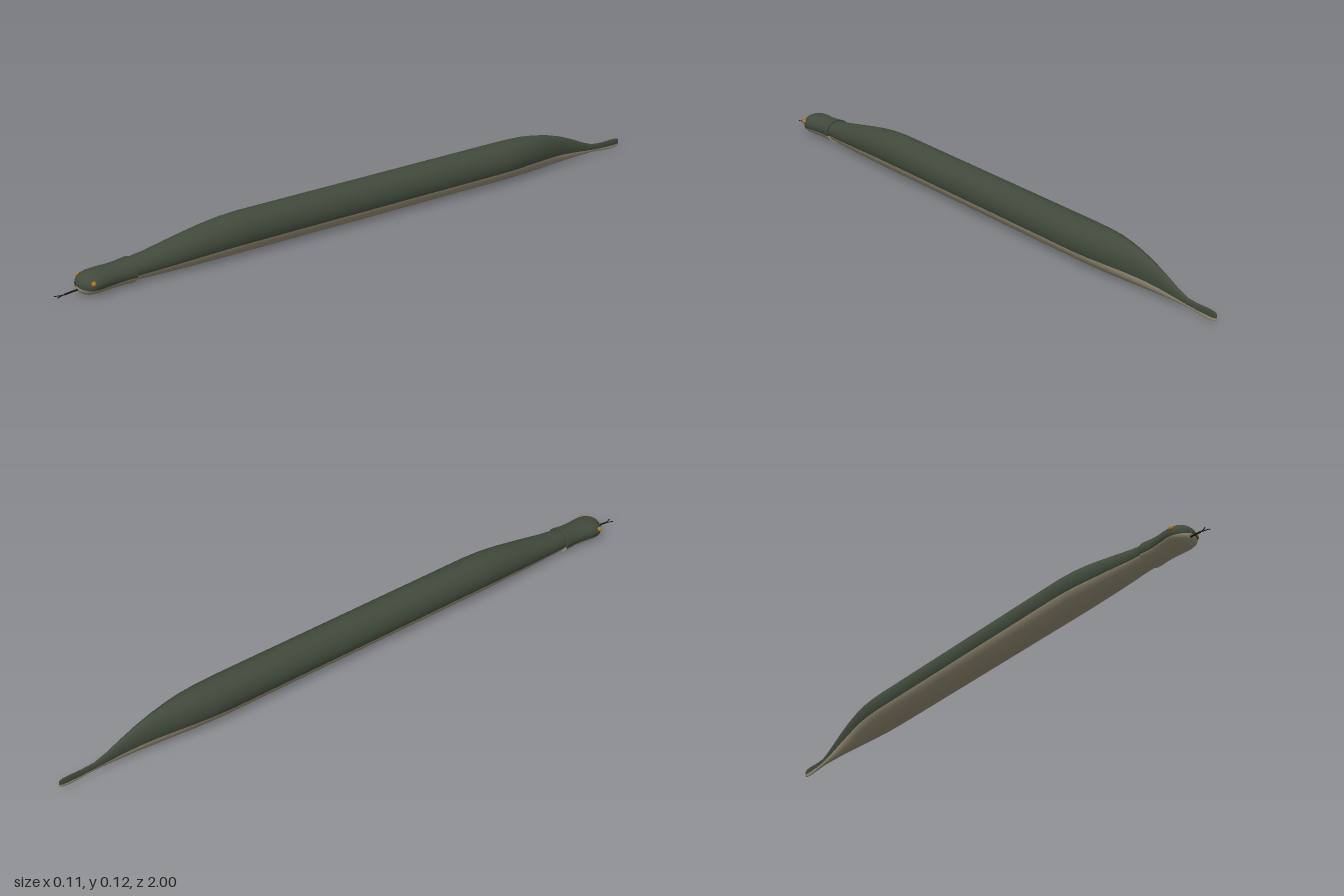
import * as THREE from 'three';

const mat = (name, color) => {
  const m = new THREE.MeshStandardMaterial({ color });
  m.name = name;
  return m;
};

// Lofted skin: stations are [z, half width, bottom, top], running from nose to tail.
// Group 0 is the pale belly, group 1 the dark back.
function loft(stations) {
  const belly = 12, back = 20, n = belly + back;
  const seam = Math.PI * 0.1;
  const angles = [];
  for (let k = 0; k < n; k++) {
    angles.push(k < belly
      ? Math.PI + seam + (k / belly) * (Math.PI - 2 * seam)
      : -seam + ((k - belly) / back) * (Math.PI + 2 * seam));
  }
  const pos = [], index = [];
  for (const [z, w, lo, hi] of stations) {
    for (const a of angles) {
      pos.push(w * Math.cos(a), (lo + hi) / 2 + (hi - lo) / 2 * Math.sin(a), z);
    }
  }
  const strip = (from, to) => {
    for (let i = 0; i < stations.length - 1; i++) {
      for (let k = from; k < to; k++) {
        const a = i * n + k, b = i * n + (k + 1) % n;
        index.push(a, a + n, b, b, a + n, b + n);
      }
    }
  };
  strip(0, belly);
  const split = index.length;
  strip(belly, n);
  const g = new THREE.BufferGeometry();
  g.setAttribute('position', new THREE.Float32BufferAttribute(pos, 3));
  g.setIndex(index);
  g.addGroup(0, split, 0);
  g.addGroup(split, index.length - split, 1);
  g.computeVertexNormals();
  return g;
}

export function createModel() {
  const root = new THREE.Group();
  root.name = 'snake';
  const skin = [mat('pale belly', 0xa89e84), mat('dark olive back', 0x414a3c)];
  const amber = mat('amber eye', 0xb07a22);
  const black = mat('dark tongue', 0x1c161c);

  const add = (name, geometry, material, x = 0, y = 0, z = 0) => {
    const m = new THREE.Mesh(geometry, material);
    m.name = name;
    m.position.set(x, y, z);
    root.add(m);
    return m;
  };

  // Body, tapering into a thin upright tail paddle
  add('body', loft([
    [0.82, 0.032, 0.008, 0.064],
    [0.77, 0.035, 0.007, 0.071],
    [0.72, 0.038, 0.006, 0.078],
    [0.66, 0.043, 0.005, 0.089],
    [0.60, 0.047, 0.004, 0.100],
    [0.54, 0.051, 0.004, 0.110],
    [0.48, 0.054, 0.004, 0.117],
    [0.42, 0.055, 0.004, 0.120],
    [0.00, 0.055, 0.004, 0.120],
    [-0.48, 0.055, 0.004, 0.120],
    [-0.54, 0.052, 0.004, 0.120],
    [-0.60, 0.045, 0.004, 0.119],
    [-0.65, 0.037, 0.005, 0.113],
    [-0.70, 0.028, 0.006, 0.104],
    [-0.75, 0.020, 0.008, 0.090],
    [-0.80, 0.013, 0.009, 0.071],
    [-0.85, 0.008, 0.010, 0.049],
    [-0.89, 0.005, 0.010, 0.035],
    [-0.93, 0.004, 0.007, 0.033],
    [-0.97, 0.003, 0.004, 0.034],
    [-0.99, 0.003, 0.006, 0.033],
    [-1.00, 0.002, 0.010, 0.029],
    [-1.00, 0.000, 0.019, 0.020],
  ]), skin);

  // Head with a collar step behind the jaw
  add('head', loft([
    [0.936, 0.000, 0.030, 0.031],
    [0.934, 0.014, 0.020, 0.042],
    [0.930, 0.024, 0.013, 0.050],
    [0.922, 0.034, 0.007, 0.057],
    [0.910, 0.042, 0.003, 0.062],
    [0.895, 0.045, 0.002, 0.065],
    [0.870, 0.043, 0.002, 0.067],
    [0.840, 0.039, 0.003, 0.068],
    [0.810, 0.038, 0.003, 0.070],
    [0.785, 0.041, 0.003, 0.073],
    [0.775, 0.041, 0.003, 0.074],
    [0.775, 0.041, 0.003, 0.074],
    [0.775, 0.000, 0.038, 0.039],
  ]), skin);

  // Eyes and nostrils
  for (const s of [1, -1]) {
    add(s > 0 ? 'leftEye' : 'rightEye', new THREE.SphereGeometry(0.007, 16, 12), amber, s * 0.041, 0.043, 0.908);
    add(s > 0 ? 'leftNostril' : 'rightNostril', new THREE.SphereGeometry(0.0015, 8, 6), black, s * 0.008, 0.036, 0.9345);
  }

  // Forked tongue
  const rod = (name, points, r) => add(name,
    new THREE.TubeGeometry(new THREE.CatmullRomCurve3(points.map(p => new THREE.Vector3(...p))), 8, r, 6), black);
  rod('tongue', [[0, 0.022, 0.915], [0, 0.020, 0.945], [0, 0.017, 0.975]], 0.0025);
  for (const s of [1, -1]) {
    rod(s > 0 ? 'leftTongueTip' : 'rightTongueTip',
      [[0, 0.017, 0.974], [s * 0.003, 0.016, 0.987], [s * 0.008, 0.016, 1.0]], 0.0013);
  }
  return root;
}
